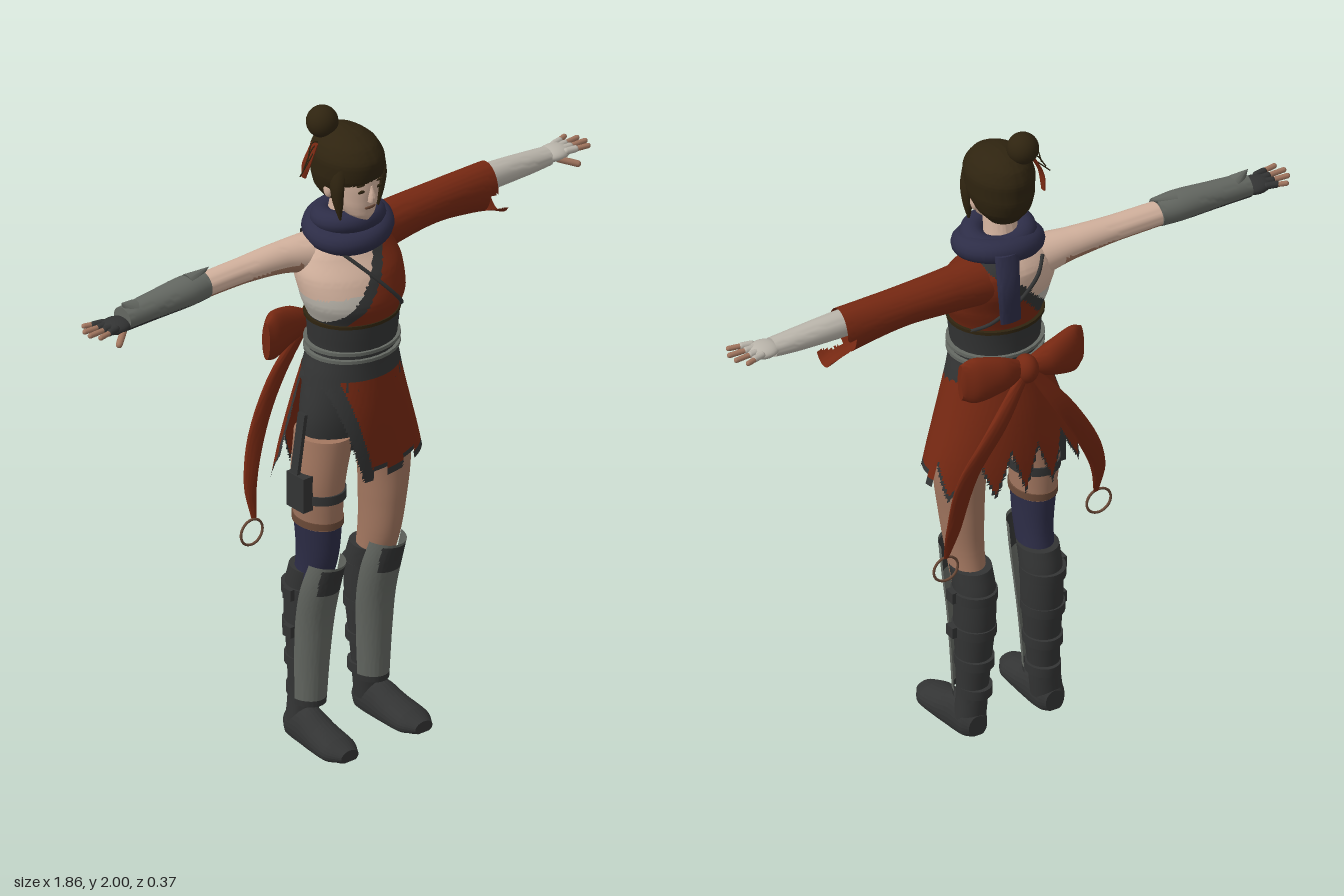
import * as THREE from 'three';
import { toCreasedNormals } from 'three/addons/utils/BufferGeometryUtils.js';

const mat = (name, color) => {
  const m = new THREE.MeshStandardMaterial({ color, side: THREE.DoubleSide });
  m.name = name;
  return m;
};
const RED = mat('rust cloth', 0x762812), DARK = mat('charcoal leather', 0x333434), PLATE = mat('grey plate', 0x646862),
  HAIR = mat('dark brown hair', 0x2f2410), INDIGO = mat('indigo cloth', 0x2d2d47), PALE = mat('pale skin', 0xd3b29e),
  TAN = mat('tan skin', 0xa37760), WRAP = mat('off-white wrap', 0xbab5ab), BROWN = mat('brown ring', 0x6b4a38);

// Elliptical cross-sections [t, centreU, centreV, radiusU, radiusV] along an axis, smoothly joined.
// (u, v) is (x, z) for axis y, (z, y) for axis x and (y, x) for axis z; t must ascend.
function loft(axis, secs, { n = 28, m = 5, a0 = 0, a1 = Math.PI * 2, caps = true } = {}) {
  const curve = (f) => new THREE.CatmullRomCurve3(secs.map(f));
  const centre = curve((s) => new THREE.Vector3(s[0], s[1], s[2]));
  const radius = curve((s) => new THREE.Vector3(s[3], s[4], 0));
  const rows = (secs.length - 1) * m, pos = [], idx = [];
  const put = (t, u, v) => pos.push(...(axis === 'y' ? [u, t, v] : axis === 'x' ? [t, v, u] : [v, u, t]));
  for (let i = 0; i <= rows; i++) {
    const c = centre.getPoint(i / rows), r = radius.getPoint(i / rows);
    for (let j = 0; j <= n; j++) {
      const a = a0 + (a1 - a0) * (j === n && caps ? 0 : j / n);
      put(c.x, c.y + r.x * Math.cos(a), c.z + r.y * Math.sin(a));
    }
  }
  const w = n + 1;
  for (let i = 0; i < rows; i++) for (let j = 0; j < n; j++) {
    const p = i * w + j;
    idx.push(p, p + w, p + 1, p + 1, p + w, p + w + 1);
  }
  if (caps) {
    const lo = secs[0], hi = secs[secs.length - 1], k = pos.length / 3;
    put(lo[0], lo[1], lo[2]);
    put(hi[0], hi[1], hi[2]);
    for (let j = 0; j < n; j++) idx.push(k, j, j + 1, k + 1, rows * w + j + 1, rows * w + j);
  }
  const g = new THREE.BufferGeometry();
  g.setAttribute('position', new THREE.Float32BufferAttribute(pos, 3));
  g.setIndex(idx);
  return toCreasedNormals(g, 0.9);
}

// Sorts triangles into material groups by their centre; pick returns -1 to cut a triangle away.
function paint(g, count, pick) {
  const out = new THREE.BufferGeometry(), p = g.attributes.position.array, q = g.attributes.normal.array;
  const bins = Array.from({ length: count }, () => ({ p: [], n: [] }));
  for (let i = 0; i < p.length; i += 9) {
    const k = pick(...[0, 1, 2].map((d) => (p[i + d] + p[i + 3 + d] + p[i + 6 + d]) / 3));
    if (k >= 0) for (let j = i; j < i + 9; j++) { bins[k].p.push(p[j]); bins[k].n.push(q[j]); }
  }
  let start = 0;
  bins.forEach((b, k) => { out.addGroup(start, b.p.length / 3, k); start += b.p.length / 3; });
  out.setAttribute('position', new THREE.Float32BufferAttribute(bins.flatMap((b) => b.p), 3));
  out.setAttribute('normal', new THREE.Float32BufferAttribute(bins.flatMap((b) => b.n), 3));
  return out;
}

export function createModel() {
  const root = new THREE.Group();
  root.name = 'sashedFighter';
  const add = (name, geo, m, x = 0, y = 0, z = 0) => {
    const mesh = new THREE.Mesh(geo, m);
    mesh.name = name;
    mesh.position.set(x, y, z);
    root.add(mesh);
    return mesh;
  };
  const blob = (name, m, x, y, z, sx, sy, sz) => add(name, new THREE.SphereGeometry(1, 24, 16), m, x, y, z).scale.set(sx, sy, sz);
  const tube = (name, m, pts, r) => add(name, new THREE.TubeGeometry(
    new THREE.CatmullRomCurve3(pts.map((p) => new THREE.Vector3(...p))), 24, r, 6), m);
  const band = (name, m, x, y, z, rx, rz, h) => add(name, loft('y', [[y - h / 2, x, z, rx, rz], [y + h / 2, x, z, rx, rz]], { m: 1 }), m);

  // Torso: wrapped robe over one shoulder, the other bare above a chest wrap
  const body = [[1.15, 0, 0.025, 0.148, 0.122], [1.26, 0, 0.032, 0.126, 0.113], [1.36, 0, 0.037, 0.135, 0.12], [1.43, 0, 0.037, 0.163, 0.135],
    [1.5, 0, 0.015, 0.17, 0.134], [1.57, 0, -0.012, 0.15, 0.108], [1.61, 0, -0.015, 0.11, 0.08], [1.65, 0, 0, 0.052, 0.055], [1.74, 0, 0.015, 0.045, 0.05]];
  add('torso', paint(loft('y', body, { n: 96, m: 9 }), 5, (x, y) => {
    const d = x + 0.13 - (y - 1.36) * 0.86;
    if (y > 1.635) return 3;
    if (d > 0.022) return 0;
    if (d > -0.022) return 1;
    return y < 1.48 + x * 0.15 ? 2 : 3;
  }), [RED, DARK, WRAP, PALE, TAN]);
  const onBody = (x, y, side) => {
    const i = body.findIndex((s) => s[0] > y), a = body[i - 1], b = body[i], t = (y - a[0]) / (b[0] - a[0]);
    const l = (k) => a[k] + (b[k] - a[k]) * t;
    return [x, y, l(2) + side * (l(4) * Math.sqrt(Math.max(0, 1 - (x / l(3)) ** 2)) + 0.008)];
  };
  for (const side of [1, -1]) tube('crossStrap', DARK,
    [0, 1, 2, 3, 4, 5, 6].map((k) => onBody(-0.085 + k * 0.034, 1.595 - k * 0.038, side)), 0.006);

  // Waist sash and cords
  add('sash', loft('y', [[1.16, 0, 0.03, 0.158, 0.13], [1.2, 0, 0.03, 0.15, 0.126], [1.27, 0, 0.034, 0.134, 0.121],
    [1.33, 0, 0.037, 0.139, 0.124], [1.37, 0, 0.037, 0.143, 0.127]]), DARK);
  for (const [y, m] of [[1.255, PLATE], [1.28, PLATE], [1.367, HAIR]]) band('sashCord', m, 0, y, 0.034, 0.147, 0.13, 0.01);

  // Skirt, open over the right thigh, with a ragged hem
  const hem = (x, z) => {
    const a = Math.atan2(z, x), f = Math.abs(((a * 1.6 + 20) % 1) * 2 - 1);
    return z > -0.02 ? 0.865 + (Math.sin(a * 9) > 0.2 ? 0.025 : 0) : 0.83 + 0.14 * f;
  };
  add('skirt', paint(loft('y', [[0.82, 0, 0.01, 0.262, 0.152], [0.95, 0, 0.013, 0.225, 0.152], [1.08, 0, 0.02, 0.183, 0.145], [1.19, 0, 0.028, 0.15, 0.13]],
    { n: 150, m: 18, caps: false }), 2, (x, y, z) => {
    const d = x + 0.15 - (1.18 - y) * 0.29, h = y - hem(x, z);
    if (h < 0 || (d < 0 && z > -0.02)) return -1;
    return (z > 0 && d < 0.04) || h < 0.018 || (x < 0 && z > -0.035 && z < 0) ? 1 : 0;
  }), [RED, DARK]);
  add('shorts', loft('y', [[0.95, 0, 0.025, 0.16, 0.09], [1.05, 0, 0.025, 0.168, 0.11], [1.18, 0, 0.028, 0.145, 0.12]]), DARK);

  // Legs, boots and greaves
  for (const s of [1, -1]) {
    const side = s > 0 ? 'left' : 'right', X = (list) => list.map(([y, x, ...r]) => [y, x * s, ...r]);
    add(side + 'Leg', paint(loft('y', X([[0.48, 0.113, -0.015, 0.05, 0.058], [0.6, 0.115, 0.016, 0.054, 0.071],
      [0.72, 0.12, 0.025, 0.063, 0.08], [0.85, 0.122, 0.028, 0.075, 0.086], [1.0, 0.1, 0.03, 0.085, 0.092]]), { m: 12 }), 2,
    (x, y) => (s < 0 && y < 0.71 ? 1 : 0)), [TAN, INDIGO]);
    add(side + 'Boot', loft('y', X([[0.04, 0.128, -0.038, 0.048, 0.046], [0.12, 0.12, -0.038, 0.047, 0.046], [0.24, 0.115, -0.036, 0.052, 0.056],
      [0.38, 0.112, -0.038, 0.06, 0.068], [0.48, 0.111, -0.035, 0.061, 0.068], [0.55, 0.112, -0.015, 0.06, 0.068]])), DARK);
    const foot = loft('z', [[-0.085, 0.03, 0.128, 0.035, 0.03], [-0.06, 0.03, 0.129, 0.06, 0.045], [0, 0.03, 0.131, 0.072, 0.05],
      [0.07, 0.02, 0.135, 0.055, 0.056], [0.14, 0.015, 0.138, 0.04, 0.058], [0.19, 0.015, 0.138, 0.02, 0.032]].map(([z, y, x, ...r]) => [z, y, x * s, ...r]));
    const p = foot.attributes.position;
    for (let i = 0; i < p.count; i++) p.setY(i, Math.max(0, p.getY(i)));
    foot.computeVertexNormals();
    add(side + 'Foot', foot, DARK);
    for (const [y, r] of [[0.47, 0.066], [0.35, 0.063], [0.24, 0.057], [0.14, 0.051]]) {
      band(side + 'BootStrap', DARK, s * 0.114, y, -0.04, r, r + 0.007, 0.03);
      if (y > 0.3) add(side + 'Buckle', new THREE.BoxGeometry(0.016, 0.035, 0.035), DARK, s * 0.183, y, -0.03);
    }
    add(side + 'Greave', paint(loft('y', X([[0.11, 0.117, -0.03, 0.052, 0.066], [0.28, 0.115, -0.025, 0.061, 0.072],
      [0.4, 0.113, -0.015, 0.067, 0.076], [0.5, 0.113, 0.005, 0.068, 0.082], [0.59, 0.113, 0.035, 0.06, 0.082]]),
    { n: 40, m: 9, a0: 0.15, a1: Math.PI - 0.15, caps: false }), 2, (x, y) =>
      (y > 0.49 && y < 0.58 && Math.abs(x - s * 0.113) < 0.045) || y < 0.13 ? 1 : 0), [PLATE, DARK]);
  }
  band('stockingGarter', BROWN, -0.12, 0.725, 0.025, 0.068, 0.084, 0.022);
  band('thighStrap', DARK, -0.122, 0.815, 0.028, 0.077, 0.09, 0.028);
  add('thighPouch', new THREE.BoxGeometry(0.035, 0.11, 0.075), DARK, -0.2, 0.84, 0.04);
  add('pouchStrap', new THREE.BoxGeometry(0.012, 0.2, 0.03), DARK, -0.195, 0.98, 0.03).rotation.z = -0.15;

  // Right arm: bare upper arm and plated bracer
  add('rightArm', paint(loft('x', [[-0.52, -0.045, 1.57, 0.04, 0.035], [-0.35, -0.045, 1.57, 0.042, 0.037], [-0.2, -0.04, 1.565, 0.05, 0.047],
    [-0.08, -0.025, 1.55, 0.07, 0.066]], { m: 10 }), 2, (x, y) => (y < 1.556 && x < -0.16 ? 1 : 0)), [PALE, TAN]);
  add('bracer', paint(loft('x', [[-0.79, -0.045, 1.565, 0.038, 0.036], [-0.68, -0.045, 1.57, 0.043, 0.04],
    [-0.56, -0.045, 1.575, 0.05, 0.044], [-0.49, -0.045, 1.575, 0.044, 0.042]], { m: 10 }), 2, (x, y) => (y < 1.55 ? 1 : 0)), [PLATE, DARK]);
  for (const [x, y, l, r] of [[-0.505, 1.612, 0.08, 1.25], [-0.775, 1.603, 0.05, -0.9]])
    add('bracerPoint', new THREE.ConeGeometry(0.028, l, 12).rotateZ(-r), PLATE, x, y, -0.045);

  // Left arm: long glove in a torn sleeve
  add('leftGlove', loft('x', [[0.45, -0.047, 1.56, 0.042, 0.042], [0.6, -0.047, 1.557, 0.039, 0.04], [0.72, -0.045, 1.553, 0.035, 0.034],
    [0.79, -0.043, 1.552, 0.032, 0.028]]), WRAP);
  add('leftSleeve', paint(loft('x', [[0.07, -0.02, 1.535, 0.085, 0.078], [0.18, -0.038, 1.542, 0.065, 0.068], [0.36, -0.046, 1.547, 0.056, 0.061],
    [0.5, -0.048, 1.538, 0.054, 0.07], [0.57, -0.048, 1.53, 0.054, 0.078], [0.62, -0.048, 1.52, 0.054, 0.09]],
  { n: 56, m: 9, caps: false }), 1, (x, y) =>
    (x > 0.57 && y > 1.46) || (x > 0.54 && y > 1.465 && y < 1.525) ? -1 : 0), [RED]);

  // Hands: palm, four spread fingers, thumb
  for (const s of [1, -1]) {
    const side = s > 0 ? 'left' : 'right', glove = s > 0 ? WRAP : DARK;
    blob(side + 'Palm', glove, s * 0.818, 1.555, -0.043, 0.05, 0.021, 0.042);
    const digit = (name, m, a, b, r) => {
      const A = new THREE.Vector3(...a), d = new THREE.Vector3(...b).sub(A);
      const mesh = add(name, new THREE.CapsuleGeometry(r, d.length(), 4, 10), m, ...A.clone().addScaledVector(d, 0.5).toArray());
      mesh.quaternion.setFromUnitVectors(new THREE.Vector3(0, 1, 0), d.normalize());
    };
    for (let k = 0; k < 4; k++) {
      const z0 = -0.073 + k * 0.02, z1 = -0.09 + k * 0.03, e = [0.895, 0.917, 0.922, 0.908][k], y = 1.56 + k * 0.001;
      digit(side + 'Knuckle', glove, [s * 0.84, y, z0], [s * 0.868, y, z0 + (z1 - z0) * 0.4], 0.0105);
      digit(side + 'Finger', TAN, [s * 0.86, y, z0 + (z1 - z0) * 0.35], [s * e, y, z1], 0.008);
    }
    digit(side + 'Thumb', TAN, [s * 0.81, 1.547, -0.015], [s * 0.855, 1.53, 0.018], 0.01);
  }

  // Head and face
  add('face', loft('y', [[1.678, 0, 0.08, 0.018, 0.024], [1.695, 0, 0.066, 0.042, 0.047], [1.73, 0, 0.045, 0.06, 0.074], [1.785, 0, 0.03, 0.071, 0.094],
    [1.84, 0, 0.02, 0.078, 0.1], [1.9, 0, 0.015, 0.05, 0.07]]), PALE);
  add('nose', loft('y', [[1.745, 0, 0.118, 0.012, 0.018], [1.757, 0, 0.121, 0.012, 0.017], [1.795, 0, 0.117, 0.006, 0.008]], { n: 12 }), PALE);
  blob('lips', BROWN, 0, 1.725, 0.115, 0.02, 0.006, 0.006);
  for (const s of [1, -1]) {
    blob('eye', HAIR, s * 0.03, 1.782, 0.115, 0.015, 0.005, 0.004);
    blob('brow', HAIR, s * 0.031, 1.803, 0.115, 0.019, 0.0035, 0.004);
    blob('ear', PALE, s * 0.077, 1.77, 0.02, 0.012, 0.026, 0.017);
    add('sideLock', loft('y', [[1.685, s * 0.07, 0.065, 0.003, 0.004], [1.74, s * 0.076, 0.062, 0.012, 0.02],
      [1.8, s * 0.079, 0.062, 0.015, 0.028], [1.87, s * 0.07, 0.06, 0.012, 0.03]], { n: 12 }), HAIR);
  }
  // Hair cap with the face cut out, bun, loose strands and red hair ribbon
  add('hair', paint(loft('y', [[1.72, 0, -0.02, 0.05, 0.045], [1.76, 0, -0.005, 0.082, 0.09], [1.81, 0, 0.01, 0.096, 0.118], [1.86, 0, 0.013, 0.098, 0.121],
    [1.905, 0, 0.008, 0.08, 0.1], [1.932, 0, 0, 0.045, 0.058], [1.942, 0, -0.005, 0.008, 0.01]], { n: 72, m: 9 }), 1, (x, y, z) =>
    z > 0.045 && y < 1.815 + x * 0.15 + Math.abs(x) * -0.1 ? -1 : 0), [HAIR]);
  blob('bun', HAIR, -0.045, 1.952, -0.045, 0.047, 0.048, 0.047);
  for (const k of [0, 1, 2]) tube('looseStrand', HAIR, [[-0.07, 1.9, -0.03], [-0.105, 1.91 - k * 0.02, -0.02], [-0.125 - k * 0.014, 1.86 - k * 0.02, -0.015]], 0.002);
  add('hairRibbon', loft('y', [[1.79, -0.11, -0.05, 0.004, 0.01], [1.84, -0.112, -0.035, 0.004, 0.018], [1.9, -0.085, -0.03, 0.006, 0.014]], { n: 10 }), RED);

  // Scarf rolls and the tail down the back
  for (const [y, R, r, t] of [[1.625, 0.088, 0.037, 0.18], [1.655, 0.07, 0.033, -0.12]]) {
    const g = new THREE.TorusGeometry(R, r, 14, 40).rotateX(Math.PI / 2 + t).rotateZ(t * 0.6);
    add('scarfRoll', g, INDIGO, 0.008, y, 0.006).scale.x = 1.12;
  }
  add('scarfTail', loft('y', [[1.44, 0.05, -0.138, 0.034, 0.01], [1.55, 0.055, -0.135, 0.036, 0.013], [1.65, 0.04, -0.1, 0.04, 0.018]]), INDIGO);

  // Back bow with hanging ribbons and their rings
  blob('bowKnot', RED, 0, 1.26, -0.14, 0.036, 0.045, 0.04);
  for (const s of [1, -1]) {
    const loop = [[0.015, -0.135, 1.262, 0.02, 0.028], [0.08, -0.14, 1.268, 0.036, 0.055], [0.16, -0.125, 1.265, 0.036, 0.075], [0.2, -0.11, 1.262, 0.018, 0.06]];
    add('bowLoop', loft('x', s > 0 ? loop : loop.map(([x, ...r]) => [-x, ...r]).reverse()), RED);
    const [ex, ey] = s > 0 ? [0.237, 0.655] : [-0.262, 0.715];
    add('longRibbon', loft('y', [[ey, ex, -0.09, 0.008, 0.004], [ey + 0.1, ex - s * 0.008, -0.115, 0.024, 0.008], [0.95, s * 0.2, -0.15, 0.034, 0.009],
      [1.1, s * 0.115, -0.165, 0.034, 0.012], [1.25, s * 0.015, -0.15, 0.02, 0.012]]), RED);
    add('ribbonRing', new THREE.TorusGeometry(0.04, 0.004, 8, 32), BROWN, ex + (s > 0 ? 0 : -0.01), ey - 0.038, -0.088);
  }
  return root;
}
